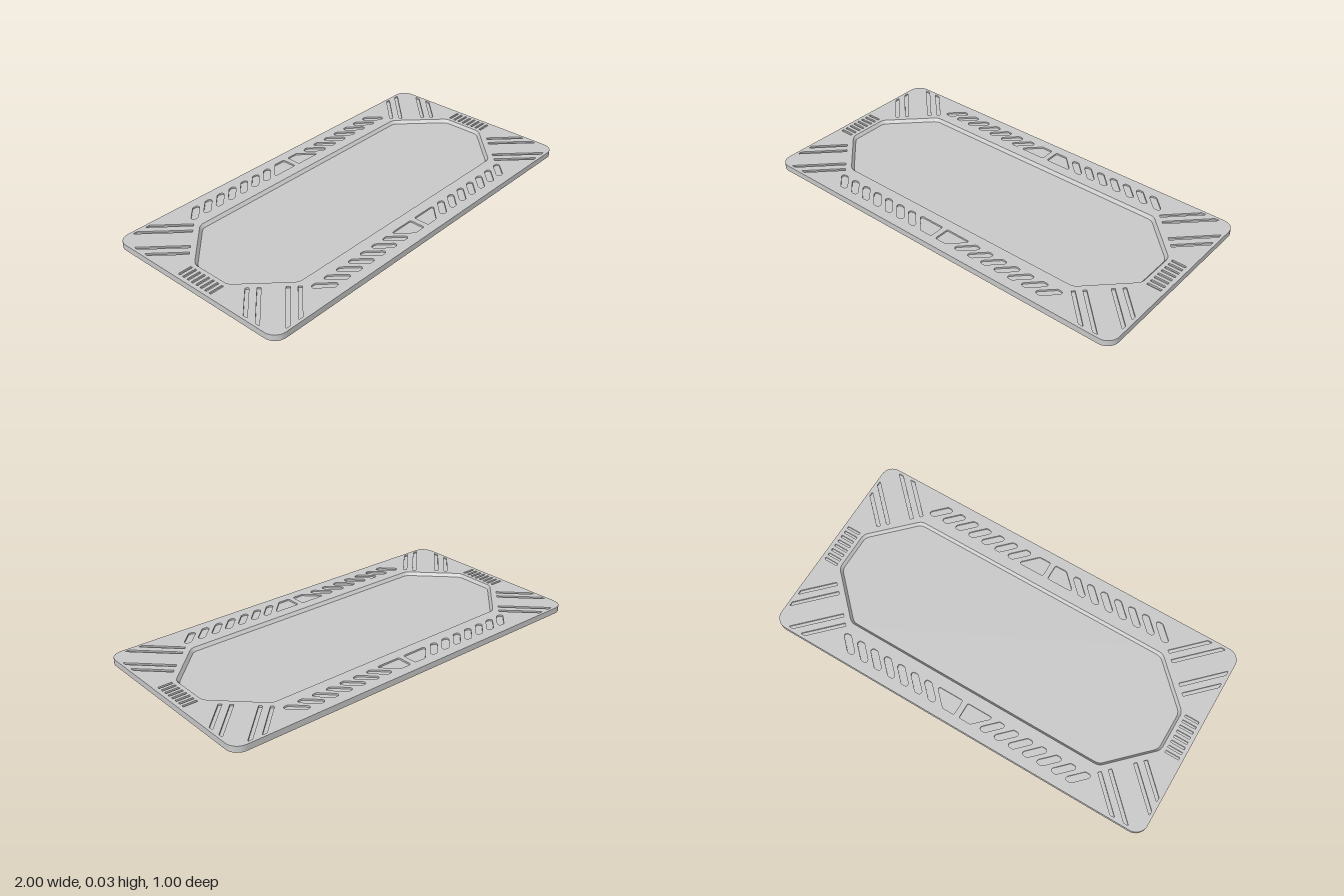
import * as THREE from 'three';

const material = new THREE.MeshStandardMaterial({ color: 0xcccccc, side: THREE.DoubleSide });
const HEIGHT = 0.03, GROOVE_Y = 0.022, FLOOR_Y = 0.014;

// Outline points of a polygon with rounded corners
function roundedPoly(corners, radius, steps = 6) {
  const pts = corners.map(([x, y]) => new THREE.Vector2(x, y));
  const out = [];
  pts.forEach((p, i) => {
    const toPrev = pts[(i + pts.length - 1) % pts.length].clone().sub(p).normalize();
    const toNext = pts[(i + 1) % pts.length].clone().sub(p).normalize();
    const half = Math.acos(THREE.MathUtils.clamp(toPrev.dot(toNext), -1, 1)) / 2;
    const t = radius / Math.tan(half);
    const mid = toPrev.clone().add(toNext).normalize();
    const c = p.clone().addScaledVector(mid, radius / Math.sin(half));
    const a = p.clone().addScaledVector(toPrev, t).sub(c);
    const b = p.clone().addScaledVector(toNext, t).sub(c);
    const sweep = Math.atan2(a.cross(b), a.dot(b));
    for (let k = 0; k <= steps; k++) {
      out.push(a.clone().rotateAround(new THREE.Vector2(), sweep * k / steps).add(c));
    }
  });
  return out;
}

function octagon(inset) {
  const x = 0.89 - inset, z = 0.315 - inset, cx = 0.68 - inset * 0.41, cz = 0.105 - inset * 0.41;
  return roundedPoly([[x, -cz], [x, cz], [cx, z], [-cx, z], [-x, cz], [-x, -cz], [-cx, -z], [cx, -z]], 0.05);
}

// Flat layer with holes, between two heights
function layer(name, holes, y0, y1) {
  const shape = new THREE.Shape(roundedPoly([[-1, -0.5], [1, -0.5], [1, 0.5], [-1, 0.5]], 0.06, 8));
  shape.holes = holes.map((h) => new THREE.Path(h));
  const geo = new THREE.ExtrudeGeometry(shape, { depth: y1 - y0, bevelEnabled: false });
  geo.rotateX(-Math.PI / 2).translate(0, y0, 0);
  const mesh = new THREE.Mesh(geo, material);
  mesh.name = name;
  return mesh;
}

// Sloping wall between two matching outlines
function slopedWall(name, top, yTop, bottom, yBottom) {
  const pos = [], index = [], n = top.length;
  for (let i = 0; i <= n; i++) {
    const a = top[i % n], b = bottom[i % n];
    pos.push(a.x, yTop, -a.y, b.x, yBottom, -b.y);
    if (i < n) index.push(2 * i, 2 * i + 2, 2 * i + 1, 2 * i + 1, 2 * i + 2, 2 * i + 3);
  }
  const geo = new THREE.BufferGeometry();
  geo.setAttribute('position', new THREE.Float32BufferAttribute(pos, 3));
  geo.setIndex(index);
  geo.computeVertexNormals();
  const mesh = new THREE.Mesh(geo, material);
  mesh.name = name;
  return mesh;
}

// Pockets of one quarter of the rim
function quarterPockets() {
  const list = [];
  const zIn = 0.37, zOut = 0.45, lean = 0.04;

  // Row of slanted slots along the long side
  for (let i = 0; i < 7; i++) {
    const x = 0.17 + i * 0.076, w = 0.023;
    list.push(roundedPoly([[x + lean - w, zIn], [x + lean + w, zIn], [x - lean + w, zOut], [x - lean - w, zOut]], 0.012, 4));
  }
  // Wedge pocket beside the middle bar
  list.push(roundedPoly([[0.014, zIn], [0.155, zIn], [0.075, zOut], [0.014, zOut]], 0.008, 4));

  // Diagonal corner grooves, running from the recess to the plate edge
  for (const u of [0.36, 0.43, 0.6, 0.67]) {
    const end = (v) => Math.min(1.97 - v, 0.97 + v);
    const at = (s, v) => [(s + v) / 2, (s - v) / 2];
    const a = u - 0.012, b = u + 0.012;
    list.push(roundedPoly([at(1.035, a), at(1.035, b), at(end(b), b), at(end(a), a)], 0.002, 2));
  }
  // Hatching grooves on the short side
  for (let i = 0; i < 4; i++) {
    const z = 0.014 + i * 0.028, w = 0.006;
    list.push(roundedPoly([[0.91, z - w], [0.98, z - w], [0.98, z + w], [0.91, z + w]], 0.002, 2));
  }
  return list;
}

export function createModel() {
  const group = new THREE.Group();
  group.name = 'tray';

  const rim = octagon(0);
  const pockets = [];
  for (const sx of [1, -1]) for (const sz of [1, -1]) {
    for (const p of quarterPockets()) pockets.push(p.map((v) => new THREE.Vector2(v.x * sx, v.y * sz)));
  }

  group.add(layer('base', [], 0, FLOOR_Y));
  group.add(layer('rimCore', [rim], FLOOR_Y, GROOVE_Y));
  group.add(layer('engravedRim', [rim, ...pockets], GROOVE_Y, HEIGHT));
  group.add(slopedWall('recessWall', rim, HEIGHT, octagon(0.012), FLOOR_Y));
  return group;
}
